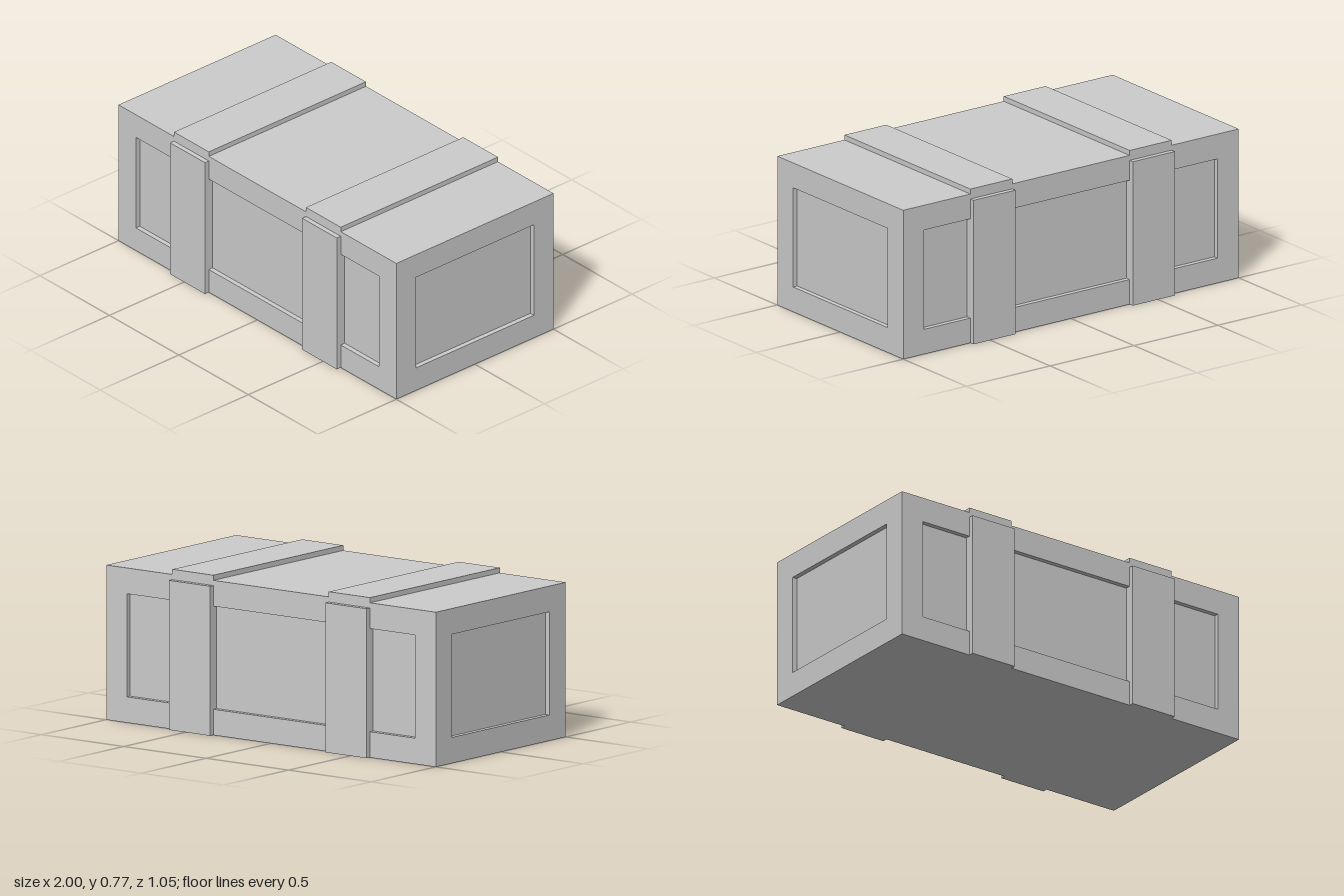
import * as THREE from 'three';
import { mergeGeometries } from 'three/addons/utils/BufferGeometryUtils.js';

const W = 2, H = 0.75, D = 1;       // crate size
const BORDER = 0.125, DEPTH = 0.025; // frame width and recess depth

// One crate wall facing +z: a flat frame stepping in to a recessed panel.
function panelledWall(width) {
  const loop = (inset, z) => {
    const x = width / 2 - inset, y = H / 2 - inset;
    return [[-x, -y, z], [x, -y, z], [x, y, z], [-x, y, z]];
  };
  const loops = [loop(0, 0), loop(BORDER, 0), loop(BORDER, -DEPTH)];
  const pos = [];
  const quad = (a, b, c, d) => pos.push(...a, ...b, ...c, ...a, ...c, ...d);
  for (let k = 0; k < 2; k++) {
    for (let i = 0; i < 4; i++) {
      const j = (i + 1) % 4;
      quad(loops[k][i], loops[k][j], loops[k + 1][j], loops[k + 1][i]);
    }
  }
  quad(...loops[2]);
  const geo = new THREE.BufferGeometry();
  geo.setAttribute('position', new THREE.Float32BufferAttribute(pos, 3));
  geo.computeVertexNormals();
  return geo;
}

// Flat top or bottom sheet
function sheet(angle, y) {
  const geo = new THREE.PlaneGeometry(W, D).toNonIndexed();
  geo.deleteAttribute('uv');
  return geo.rotateX(angle).translate(0, y, 0);
}

export function createModel() {
  const group = new THREE.Group();
  const material = new THREE.MeshStandardMaterial({ color: 0xcccccc, flatShading: true });

  const add = (name, geo, x = 0, y = 0, z = 0) => {
    const mesh = new THREE.Mesh(geo, material);
    mesh.name = name;
    mesh.position.set(x, y, z);
    group.add(mesh);
  };

  // Crate body: four recessed walls, lid and base
  const walls = [0, 1, 2, 3].map((i) => {
    const long = i % 2 === 0;
    return panelledWall(long ? W : D)
      .translate(0, H / 2, (long ? D : W) / 2)
      .rotateY(i * Math.PI / 2);
  });
  add('crateBody', mergeGeometries([...walls, sheet(-Math.PI / 2, H), sheet(Math.PI / 2, 0)]));

  // Two bands: a slat over the lid and a batten down the front and back
  const bandWidth = 0.25;
  for (const [side, x] of [['left', 0.475], ['right', -0.475]]) {
    add(`${side}TopSlat`, new THREE.BoxGeometry(bandWidth, DEPTH, D), x, H + DEPTH / 2, 0);
    for (const [face, s] of [['Front', 1], ['Back', -1]]) {
      add(`${side}${face}Batten`, new THREE.BoxGeometry(bandWidth, H - DEPTH, DEPTH * 2),
        x, (H - DEPTH) / 2, s * D / 2);
    }
  }
  return group;
}
